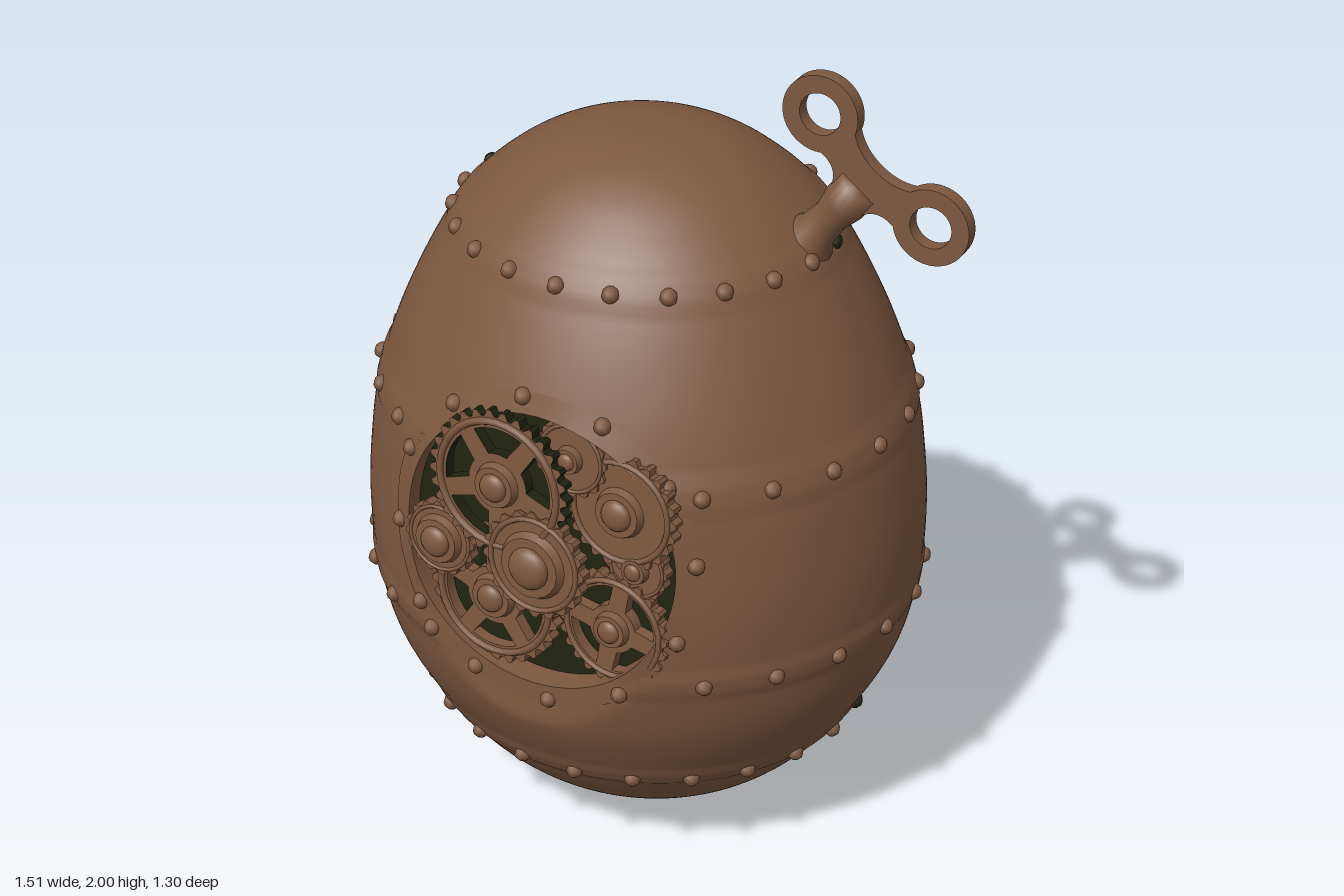
import * as THREE from 'three';
import { mergeVertices } from 'three/addons/utils/BufferGeometryUtils.js';

const CX = -0.065, ZS = 0.93;                 // egg axis and depth squash
const WX = -0.05, WY = 0.95, WR = 0.355;      // gear window
const ROWS = [[0.31, 24], [0.665, 24], [1.15, 24], [1.565, 22]]; // seam height, rivets

const brown = new THREE.MeshStandardMaterial({ color: 0x7d5840, side: THREE.DoubleSide });
brown.name = 'bronzeBrown';
const dark = new THREE.MeshStandardMaterial({ color: 0x20220f, side: THREE.DoubleSide });
dark.name = 'darkPatina';

const profile = new THREE.SplineCurve([
  [0, 0.005], [0.12, 0.012], [0.24, 0.05], [0.36, 0.115], [0.46, 0.2], [0.55, 0.315], [0.64, 0.48],
  [0.68, 0.64], [0.69, 0.8], [0.68, 0.96], [0.65, 1.14], [0.572, 1.35], [0.455, 1.565],
  [0.34, 1.68], [0.22, 1.75], [0.1, 1.78], [0, 1.785],
].map(([x, y]) => new THREE.Vector2(x, y))).getPoints(160);

function radiusAt(y) {
  const i = Math.max(1, profile.findIndex((p) => p.y >= y));
  const a = profile[i - 1], b = profile[i];
  return a.x + (b.x - a.x) * (y - a.y) / (b.y - a.y);
}
// the front is slightly flattened around the window
const flatZ = (y) => 0.545 + (1.33 - y) * 0.065;
function frontZ(x, y) {
  const r = radiusAt(y);
  return Math.min(ZS * Math.sqrt(Math.max(0, r * r - (x - CX) ** 2)), flatZ(y));
}

function mesh(name, geometry, material = brown) {
  const m = new THREE.Mesh(geometry, material);
  m.name = name;
  return m;
}

// egg with flattened front, raised seams and an opening for the gears
function eggGeometry() {
  const pts = profile.map((p) => {
    const seam = ROWS.some(([y]) => Math.abs(p.y - y) < 0.032) ? 0.005 : 0;
    return new THREE.Vector2(Math.max(0, p.x) + seam, p.y);
  });
  let g = new THREE.LatheGeometry(pts, 128, Math.PI);
  g.deleteAttribute('uv');
  g.deleteAttribute('normal');
  const p = g.attributes.position;
  for (let i = 0; i < p.count; i++) {
    p.setXYZ(i, p.getX(i) + CX, p.getY(i), Math.min(p.getZ(i) * ZS, flatZ(p.getY(i))));
  }
  g = mergeVertices(g, 1e-4);
  g.computeVertexNormals();
  const q = g.attributes.position, old = g.index.array, kept = [];
  for (let i = 0; i < old.length; i += 3) {
    const t = [old[i], old[i + 1], old[i + 2]];
    const mid = (f) => t.reduce((s, v) => s + f(v), 0) / 3;
    const d = Math.hypot(mid((v) => q.getX(v)) - WX, mid((v) => q.getY(v)) - WY);
    if (d > WR + 0.01 || mid((v) => q.getZ(v)) < 0) kept.push(...t);
  }
  g.setIndex(kept);
  return g;
}

// strip between two circles around the window
function windowStrip(r0, z0, r1, z1, n = 72) {
  const pos = [], idx = [];
  for (let i = 0; i <= n; i++) {
    const a = i / n * Math.PI * 2;
    for (const [r, z] of [[r0, z0], [r1, z1]]) {
      const x = WX + r * Math.cos(a), y = WY + r * Math.sin(a);
      pos.push(x, y, z(x, y));
    }
    if (i < n) idx.push(2 * i, 2 * i + 1, 2 * i + 2, 2 * i + 1, 2 * i + 3, 2 * i + 2);
  }
  const g = new THREE.BufferGeometry();
  g.setAttribute('position', new THREE.Float32BufferAttribute(pos, 3));
  g.setIndex(idx);
  g.computeVertexNormals();
  return g;
}

// toothed wheel with optional wedge openings and a domed hub
function gear({ x, y, z, r, depth = 0.03, teeth = 24, spokes = 0, hub = 0.05, turn = 0, edge = brown }) {
  const group = new THREE.Group();
  group.name = 'gear';
  const s = new THREE.Shape();
  for (let i = 0; i < teeth * 4; i++) {
    const a = i / (teeth * 4) * Math.PI * 2, rr = i % 4 < 2 ? r : r * 0.92;
    s[i ? 'lineTo' : 'moveTo'](rr * Math.cos(a), rr * Math.sin(a));
  }
  for (let i = 0; i < spokes; i++) {
    const a = turn + i / spokes * Math.PI * 2, half = Math.PI / spokes;
    const h = new THREE.Path();
    h.absarc(0, 0, r * 0.76, a - half * 0.75, a + half * 0.75, false);
    h.absarc(0, 0, r * 0.42, a + half * 0.5, a - half * 0.5, true);
    h.closePath();
    s.holes.push(h);
  }
  group.add(mesh('gearWheel', new THREE.ExtrudeGeometry(s, { depth, bevelEnabled: false, curveSegments: 8 }), [brown, edge]));
  // raised rim, collar and dome
  const rim = mesh('gearRim', new THREE.TorusGeometry(r * 0.85, r * 0.05, 6, 36));
  rim.position.z = depth;
  const collar = mesh('gearCollar', new THREE.CylinderGeometry(hub, hub * 1.15, 0.02, 20).rotateX(Math.PI / 2));
  collar.position.z = depth + 0.008;
  const dome = mesh('gearHub', new THREE.SphereGeometry(hub * 0.7, 16, 10));
  dome.scale.z = 0.5;
  dome.position.z = depth + 0.018;
  group.add(rim, collar, dome);
  group.position.set(x, y, z);
  group.rotation.set(-0.06, -0.05, 0);
  return group;
}

function windUpKey() {
  const key = new THREE.Group();
  key.name = 'windUpKey';
  const T = 0.036, opts = { depth: T, bevelEnabled: false, curveSegments: 24 };
  for (const u of [-0.175, 0.175]) {
    const s = new THREE.Shape().absarc(u, 0, 0.092, 0, Math.PI * 2);
    s.holes.push(new THREE.Path().absarc(u, 0, 0.05, 0, Math.PI * 2));
    key.add(mesh('keyRing', new THREE.ExtrudeGeometry(s, opts).translate(0, 0, -T / 2)));
  }
  const b = new THREE.Shape();
  b.moveTo(-0.123, 0.07);
  b.quadraticCurveTo(-0.08, 0.0, 0, 0.0);
  b.quadraticCurveTo(0.08, 0.0, 0.123, 0.07);
  b.lineTo(0.123, -0.07);
  b.quadraticCurveTo(0.06, -0.06, 0.045, -0.12);
  b.lineTo(-0.045, -0.12);
  b.quadraticCurveTo(-0.06, -0.06, -0.123, -0.07);
  key.add(mesh('keyBow', new THREE.ExtrudeGeometry(b, opts).translate(0, 0, -T / 2)));
  // stem flares where it meets the shell
  const stem = [[0.085, -0.33], [0.07, -0.275], [0.048, -0.235], [0.042, -0.18], [0.052, -0.13], [0.052, -0.065], [0, -0.065]];
  key.add(mesh('keyStem', new THREE.LatheGeometry(stem.map(([x, y]) => new THREE.Vector2(x, y)), 20)));
  key.position.set(0.518, 1.803, 0);
  key.rotation.z = -0.664;
  return key;
}

export function createModel() {
  const model = new THREE.Group();
  model.name = 'clockworkEgg';
  model.add(mesh('eggShell', eggGeometry()));

  // window rim, inner wall and floor
  const floorZ = (x, y) => flatZ(y) - 0.06;
  model.add(mesh('windowRim', windowStrip(WR - 0.008, (x, y) => frontZ(x, y) + 0.005, WR + 0.043, (x, y) => frontZ(x, y) + 0.002)));
  model.add(mesh('windowWall', windowStrip(WR - 0.008, (x, y) => frontZ(x, y) + 0.005, WR - 0.008, floorZ)));
  model.add(mesh('windowFloor', windowStrip(WR - 0.008, floorZ, 0, floorZ), dark));

  // clockwork
  const works = new THREE.Group();
  works.name = 'clockwork';
  [
    { x: 0.16, y: 1.1, z: 0.515, r: 0.145, hub: 0.055 },
    { x: 0.03, y: 1.2, z: 0.51, r: 0.095, hub: 0.03, teeth: 16 },
    { x: -0.165, y: 0.79, z: 0.535, r: 0.175, spokes: 5, turn: Math.PI * 0.3, teeth: 28 },
    { x: 0.145, y: 0.79, z: 0.53, r: 0.145, spokes: 4, turn: 0.6, hub: 0.04 },
    { x: 0.2, y: 0.96, z: 0.515, r: 0.08, hub: 0.03, teeth: 14 },
    { x: -0.135, y: 1.11, z: 0.555, r: 0.185, spokes: 5, turn: Math.PI / 2, teeth: 30, edge: dark },
    { x: -0.3, y: 0.915, z: 0.55, r: 0.095, hub: 0.055, teeth: 16 },
    { x: -0.035, y: 0.935, z: 0.575, r: 0.135, hub: 0.075, teeth: 20 },
  ].forEach((g) => works.add(gear(g)));
  model.add(works);

  // rivets along the seams and around the window
  const rivetGeo = new THREE.SphereGeometry(0.021, 8, 6);
  const rivet = (x, y, z, material) => {
    const m = mesh('rivet', rivetGeo, material);
    m.position.set(x, y, z);
    model.add(m);
  };
  ROWS.forEach(([y, n], row) => {
    for (let i = 0; i < n; i++) {
      const a = (i + 0.5) / n * Math.PI * 2, r = radiusAt(y) + 0.003;
      const x = CX + r * Math.cos(a), z = Math.min(r * Math.sin(a) * ZS, flatZ(y));
      if (z > 0 && Math.hypot(x - WX, y - WY) < WR + 0.03) continue;
      rivet(x, y, z, (row === 0 || row === 3) && z < 0 && i % 2 ? dark : brown);
    }
  });
  for (let i = 0; i < 12; i++) {
    const a = (i + 0.2) / 12 * Math.PI * 2;
    const x = WX + 0.385 * Math.cos(a), y = WY + 0.385 * Math.sin(a);
    rivet(x, y, frontZ(x, y), brown);
  }

  model.add(windUpKey());
  return model;
}
